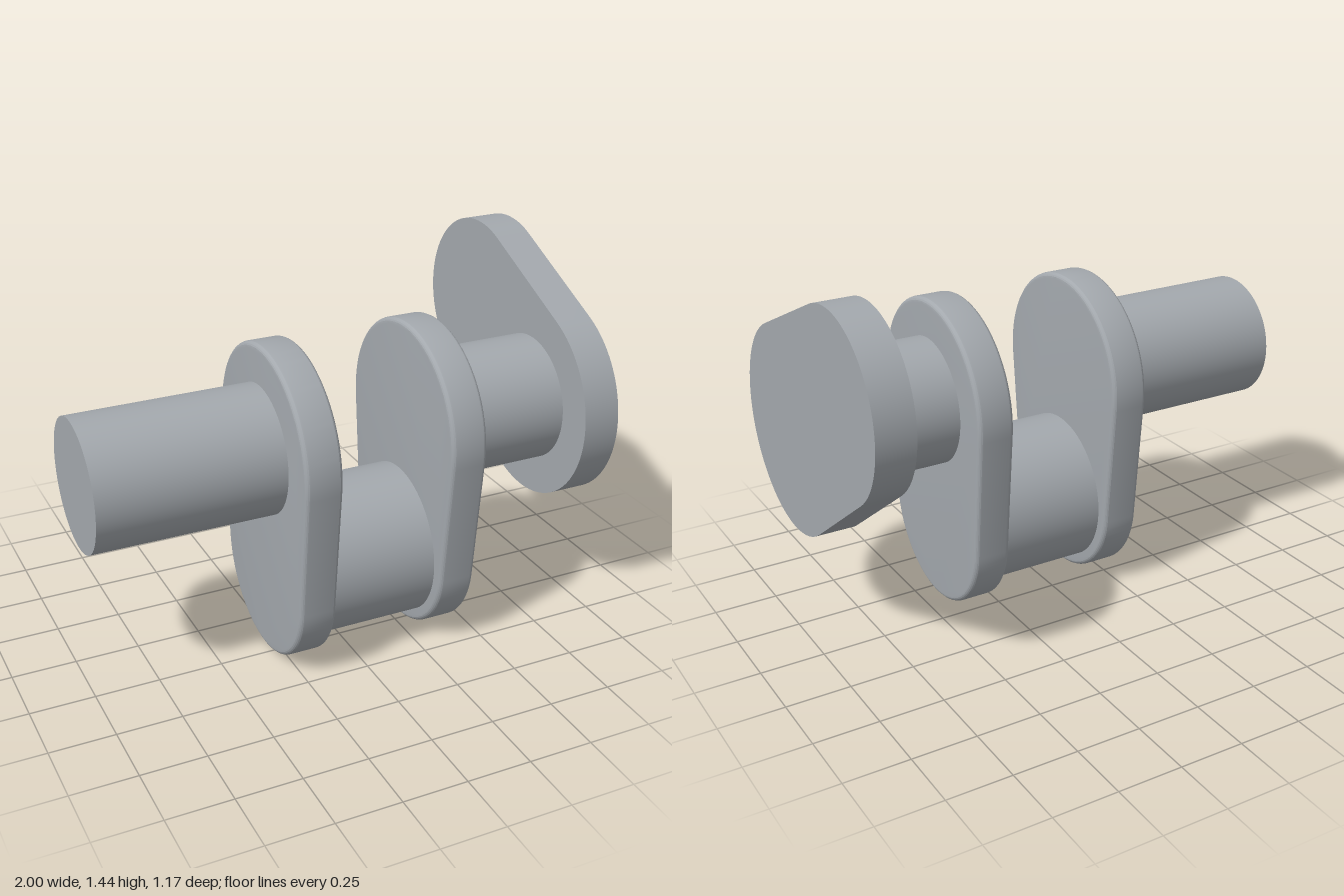
import * as THREE from 'three';
import { toCreasedNormals } from 'three/addons/utils/BufferGeometryUtils.js';

const steel = new THREE.MeshStandardMaterial({ color: 0xa3a8ad });
steel.name = 'steel grey';

// Axes running along x, given as y and z
const MAIN = { y: 0.848, z: 0.188 };
const PIN = { y: 0.348, z: 0.188 };
const FLANGE_TIP = { y: 1.095, z: -0.24 };

// Round bar along x between x0 and x1
function bar(name, axis, radius, x0, x1) {
  const geometry = new THREE.CylinderGeometry(radius, radius, x1 - x0, 96);
  geometry.rotateZ(Math.PI / 2);
  geometry.translate((x0 + x1) / 2, axis.y, axis.z);
  const mesh = new THREE.Mesh(geometry, steel);
  mesh.name = name;
  return mesh;
}

// Plate with two round ends joined by tangents, lying across x
function plate(name, a, ra, b, rb, x0, x1, round = 0) {
  const [ax, bx] = [-a.z, -b.z];
  const dir = Math.atan2(b.y - a.y, bx - ax);
  const phi = Math.acos((ra - rb) / Math.hypot(bx - ax, b.y - a.y));
  const shape = new THREE.Shape();
  shape.absarc(ax, a.y, ra, dir + phi, dir - phi + Math.PI * 2, false);
  shape.absarc(bx, b.y, rb, dir - phi, dir + phi, false);
  let geometry = new THREE.ExtrudeGeometry(shape, {
    depth: x1 - x0 - 2 * round,
    curveSegments: 32,
    bevelEnabled: round > 0,
    bevelSize: round,
    bevelThickness: round,
    bevelOffset: -round,
    bevelSegments: 5,
  });
  geometry.translate(0, 0, x0 + round);
  geometry.rotateY(Math.PI / 2);
  geometry = toCreasedNormals(geometry, 0.2);
  const mesh = new THREE.Mesh(geometry, steel);
  mesh.name = name;
  return mesh;
}

export function createModel() {
  const group = new THREE.Group();
  group.name = 'crankshaft';
  group.add(
    // Main shaft and crank pin
    bar('rightShaft', MAIN, 0.248, -1, -0.29),
    bar('crankPin', PIN, 0.298, -0.155, 0.29),
    bar('leftShaft', MAIN, 0.248, 0.425, 0.86),
    // Crank webs with rounded rims
    plate('rightWeb', MAIN, 0.397, PIN, 0.348, -0.295, -0.149, 0.02),
    plate('leftWeb', MAIN, 0.397, PIN, 0.348, 0.284, 0.43, 0.02),
    // Sharp-edged end plate
    plate('endWeb', MAIN, 0.397, FLANGE_TIP, 0.348, 0.853, 1),
  );
  return group;
}
